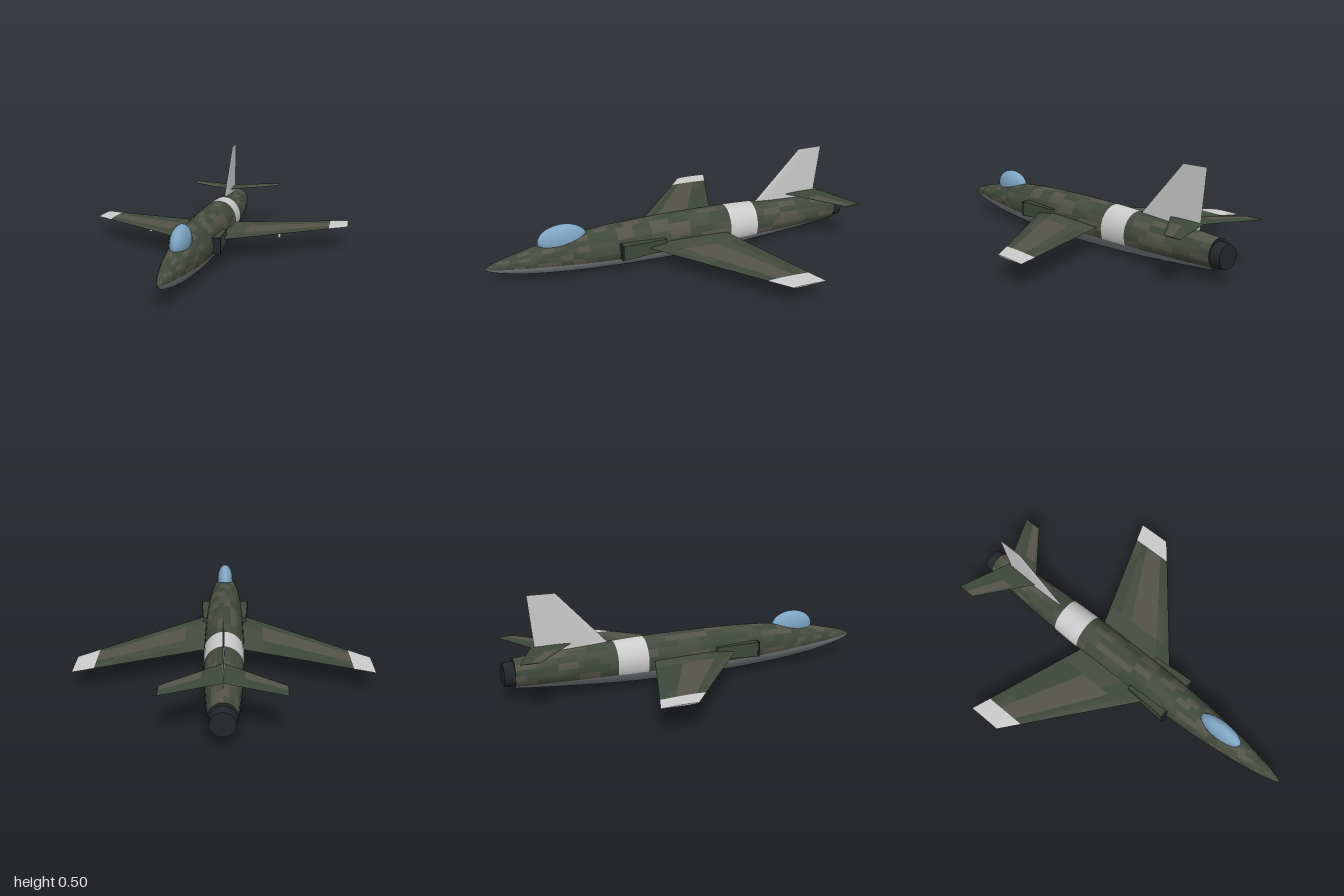
import * as THREE from 'three';
import { toCreasedNormals } from 'three/addons/utils/BufferGeometryUtils.js';

const COLORS = {
  Green: 0x3f483b, Olive: 0x55544a, Moss: 0x474c40, Belly: 0x7d8184,
  White: 0xd6d6d6, Dark: 0x23272b, Glass: 0x7fa6c4,
};
const materials = {};
for (const key in COLORS) materials[key] = new THREE.MeshStandardMaterial({ color: COLORS[key] });

// Seeded hash, 0..1
function hash(a, b) {
  const s = Math.sin(a * 127.1 + b * 311.7 + 4.3) * 43758.5453;
  return s - Math.floor(s);
}
function camo(a, b) {
  const h = hash(a, b);
  return h < 0.42 ? 'Green' : h < 0.72 ? 'Moss' : 'Olive';
}

// Skin over closed rings; pick(i, j) names the paint of each cell, one mesh per paint
function loft(name, rings, pick, capPaint, flip = false) {
  const n = rings[0].length;
  const index = [];
  const paints = [];
  const tri = (a, b, c, paint) => {
    index.push(...(flip ? [a, c, b] : [a, b, c]));
    paints.push(paint);
  };
  for (let i = 0; i < rings.length - 1; i++) {
    for (let j = 0; j < n; j++) {
      const k = (j + 1) % n;
      const a = i * n + j, b = i * n + k, c = (i + 1) * n + k, d = (i + 1) * n + j;
      tri(a, d, c, pick(i, j));
      tri(a, c, b, pick(i, j));
    }
  }
  const last = (rings.length - 1) * n;
  for (let j = 1; j < n - 1; j++) {
    tri(0, j, j + 1, capPaint);
    tri(last, last + j + 1, last + j, capPaint);
  }
  const base = new THREE.BufferGeometry();
  base.setAttribute('position', new THREE.Float32BufferAttribute(rings.flat(2), 3));
  base.setIndex(index);
  const skin = toCreasedNormals(base, 0.7);
  const group = new THREE.Group();
  group.name = name;
  for (const paint of new Set(paints)) {
    const part = [];
    paints.forEach((p, t) => { if (p === paint) part.push(3 * t, 3 * t + 1, 3 * t + 2); });
    skin.setIndex(part);
    const mesh = new THREE.Mesh(skin.toNonIndexed(), materials[paint]);
    mesh.name = name + paint;
    group.add(mesh);
  }
  return group;
}

// Fuselage stations: z, top, bottom, half width
const STATIONS = [
  [1, 0.114, 0.106, 0.003], [0.95, 0.137, 0.085, 0.02], [0.88, 0.156, 0.067, 0.036],
  [0.75, 0.185, 0.043, 0.057], [0.6, 0.209, 0.026, 0.075], [0.45, 0.226, 0.014, 0.088],
  [0.25, 0.237, 0.005, 0.096], [0, 0.239, 0, 0.1], [-0.29, 0.235, 0.006, 0.1],
  [-0.45, 0.228, 0.013, 0.096], [-0.7, 0.214, 0.03, 0.085], [-0.95, 0.198, 0.052, 0.067],
];
const BAND = 8; // station where the white band begins

function fuselage() {
  const curve = (k, m) => new THREE.CatmullRomCurve3(
    STATIONS.map((s) => new THREE.Vector3(s[0], s[k], s[m])), false, 'catmullrom', 0.5);
  const heights = curve(1, 2), widths = curve(3, 3);
  const steps = 5, upper = 24, lower = 12;
  const count = (STATIONS.length - 1) * steps;
  const rings = [];
  for (let i = 0; i <= count; i++) {
    const h = heights.getPoint(i / count), w = widths.getPoint(i / count).y;
    const mid = (h.y + h.z) / 2, r = (h.y - h.z) / 2;
    // The belly paint line stays almost level and rises towards the nose
    const line = 0.072 + 0.038 * THREE.MathUtils.clamp((h.x - 0.3) / 0.7, 0, 1);
    const a = Math.asin(THREE.MathUtils.clamp((mid - line) / r, 0.1, 0.85));
    const ring = [];
    for (let j = 0; j < upper + lower; j++) {
      const t = j < upper
        ? -a + (Math.PI + 2 * a) * j / upper
        : Math.PI + a + (Math.PI - 2 * a) * (j - upper) / lower;
      ring.push([w * Math.cos(t), mid + r * Math.sin(t), h.x]);
    }
    rings.push(ring);
  }
  const pick = (i, j) => {
    if (j >= upper) return 'Belly';
    if (Math.floor(i / steps) === BAND) return 'White';
    return camo(Math.floor((i + 2 * hash(j >> 1, 9)) / 2), j >> 1);
  };
  return loft('fuselage', rings, pick, 'Dark');
}

// Airfoil surface running along +x (or -x); root and tip: span, height, leading z, trailing z, thickness
const CHORD = [0, 0.03, 0.1, 0.22, 0.36, 0.5, 0.65, 0.82, 1];
function airfoil(name, root, tip, spans, pick, tipPaint, side = 1) {
  const thick = (u) => 1.6 * Math.sqrt(u) * (1 - u) * (1 - 0.18 * u) / 1.17;
  const m = CHORD.length;
  const rings = spans.map((f) => {
    const [x, y, lead, trail, t] = root.map((v, k) => v + (tip[k] - v) * f);
    const point = (u, s) => [side * x, y + s * t * thick(u), lead + (trail - lead) * u];
    return [
      ...CHORD.map((u) => point(u, 0.5 * 1.15)),
      ...CHORD.slice(1, m - 1).reverse().map((u) => point(u, -0.5 * 1.15)),
    ];
  });
  return loft(name, rings, (i, j) => pick(i, j, j < m - 1), tipPaint, side < 0);
}

function wing(side) {
  const spans = [0, 0.12, 0.25, 0.37, 0.5, 0.62, 0.74, 0.856, 1];
  const pick = (i, j, top) => {
    if (i === spans.length - 2) return 'White';
    if (!top) return 'Belly';
    if (j >= 3 && j <= 5 && i > 1) return 'Olive';
    if (j >= 4 && i < 2) return 'Moss';
    return camo(i >> 1, j + (side > 0 ? 3 : 14)) === 'Moss' ? 'Moss' : 'Green';
  };
  return airfoil(side > 0 ? 'leftWing' : 'rightWing',
    [0.03, 0.127, 0.258, -0.235, 0.034], [0.717, 0.111, -0.312, -0.49, 0.012],
    spans, pick, 'White', side);
}

function tailplane(side) {
  const pick = (i, j, top) => (!top ? 'Belly' : j >= 2 && j <= 4 && i ? 'Olive' : 'Green');
  return airfoil(side > 0 ? 'leftTailplane' : 'rightTailplane',
    [0, 0.24, -0.66, -0.86, 0.012], [0.27, 0.24, -0.876, -0.972, 0.006],
    [0, 0.35, 0.7, 1], pick, 'Green', side);
}

export function createModel() {
  const model = new THREE.Group();
  const add = (name, geometry, paint, x, y, z) => {
    const mesh = new THREE.Mesh(geometry, materials[paint]);
    mesh.name = name;
    mesh.position.set(x, y, z);
    model.add(mesh);
    return mesh;
  };
  model.add(fuselage());

  for (const side of [1, -1]) {
    const label = side > 0 ? 'left' : 'right';
    model.add(wing(side), tailplane(side));

    // Air intake: dark mouth with a tapering painted fairing behind it
    add(label + 'IntakeMouth', new THREE.BoxGeometry(0.045, 0.08, 0.012), 'Dark', side * 0.106, 0.125, 0.324);
    const fairing = new THREE.BoxGeometry(0.045, 0.08, 0.23);
    const p = fairing.attributes.position;
    for (let i = 0; i < p.count; i++) {
      if (p.getZ(i) < 0) p.setXYZ(i, p.getX(i) - side * 0.012, p.getY(i) * 0.8, p.getZ(i));
    }
    fairing.computeVertexNormals();
    add(label + 'IntakeFairing', fairing, 'Green', side * 0.105, 0.125, 0.203);

    // Small stub under the wing
    add(label + 'WingStub', new THREE.BoxGeometry(0.014, 0.045, 0.014), 'White', side * 0.36, 0.0925, -0.16);
  }

  // Fin: an airfoil stood upright
  const fin = airfoil('fin', [0.195, 0, -0.445, -0.838, 0.024], [0.495, 0, -0.73, -0.868, 0.008],
    [0, 0.5, 1], () => 'White', 'White');
  fin.rotation.z = Math.PI / 2;
  model.add(fin);

  // Canopy bubble
  const canopy = add('canopy', new THREE.SphereGeometry(1, 20, 14), 'Glass', 0, 0.204, 0.605);
  canopy.scale.set(0.045, 0.08, 0.127);

  // Exhaust nozzle
  const nozzle = add('nozzle', new THREE.CylinderGeometry(0.062, 0.057, 0.06, 24), 'Dark', 0, 0.123, -0.97);
  nozzle.rotation.x = Math.PI / 2;
  return model;
}
